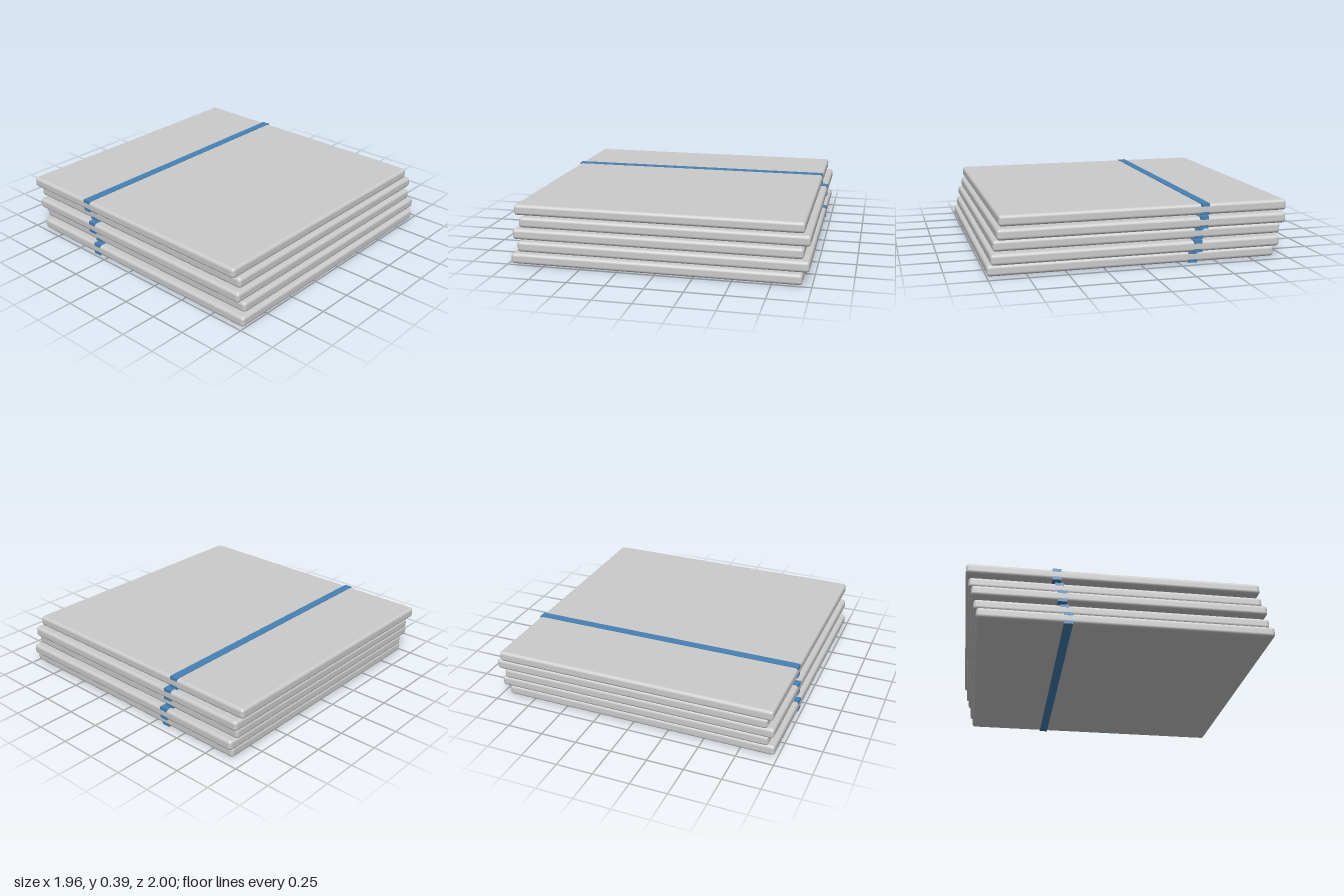
import * as THREE from 'three';
import { RoundedBoxGeometry } from 'three/addons/geometries/RoundedBoxGeometry.js';

export function createModel() {
  const group = new THREE.Group();
  const grey = new THREE.MeshStandardMaterial({ color: 0xcccccc });
  const blue = new THREE.MeshStandardMaterial({ color: 0x4682b4 });

  const size = 1.92, pitch = 0.0775, bandHeight = 0.08;
  const slabGeometry = new RoundedBoxGeometry(size, 0.072, size, 4, 0.022);
  const bandGeometry = new THREE.BoxGeometry(size - 0.001, bandHeight, 0.058);

  // Staggered stack of slabs, each wrapped by a coloured band
  for (let i = 0; i < 5; i++) {
    const layer = new THREE.Group();
    layer.name = `layer${i + 1}`;
    layer.position.set(i % 2 ? 0.0195 : -0.0195, bandHeight / 2 + i * pitch, 0.04 - i * 0.02);

    const slab = new THREE.Mesh(slabGeometry, grey);
    slab.name = 'slab';

    const band = new THREE.Mesh(bandGeometry, blue);
    band.name = 'band';
    band.position.z = -0.383;

    layer.add(slab, band);
    group.add(layer);
  }
  return group;
}
